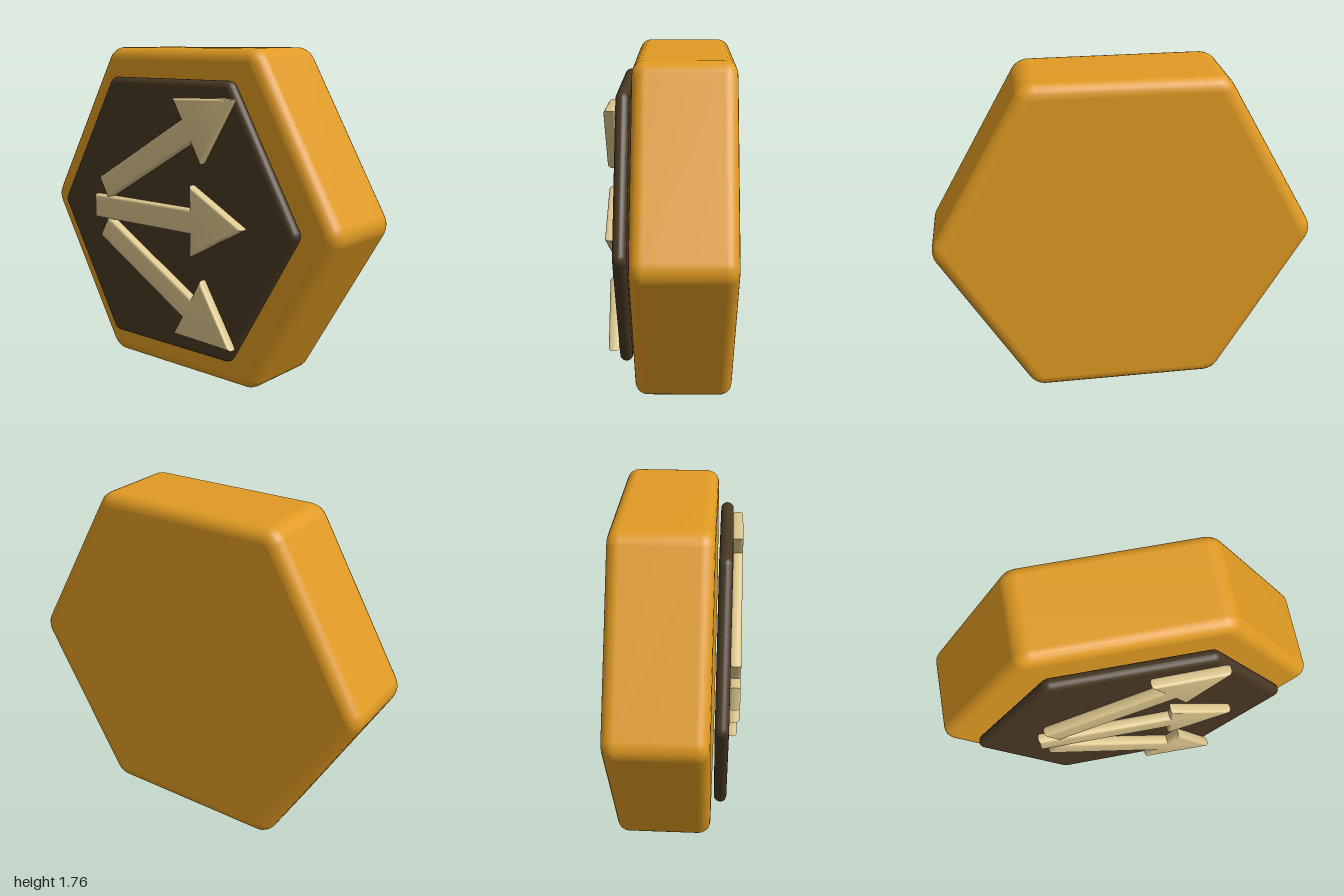
import * as THREE from 'three';
import { mergeVertices, toCreasedNormals } from 'three/addons/utils/BufferGeometryUtils.js';

const CENTER_Y = 0.882;

const gold = new THREE.MeshStandardMaterial({ color: 0xe09a22 });
gold.name = 'gold';
const darkBrown = new THREE.MeshStandardMaterial({ color: 0x483823 });
darkBrown.name = 'dark brown';
const sand = new THREE.MeshStandardMaterial({ color: 0xdcc68d });
sand.name = 'sand';

// Hexagon with flat top and bottom, its corners rounded by radius r
function hexShape(apothem, r) {
  const points = [];
  const inner = (apothem - r) / Math.cos(Math.PI / 6);
  const steps = 6;
  for (let i = 0; i < 6; i++) {
    const mid = (i * Math.PI) / 3;
    for (let j = 0; j <= steps; j++) {
      const a = mid + (j / steps - 0.5) * (Math.PI / 3);
      points.push(new THREE.Vector2(
        inner * Math.cos(mid) + r * Math.cos(a),
        inner * Math.sin(mid) + r * Math.sin(a)
      ));
    }
  }
  return new THREE.Shape(points);
}

// Extrude between two depths with a rounded edge that stays inside the outline
function roundedExtrude(shape, zBack, zFront, edge, depthEdge = edge) {
  const geometry = new THREE.ExtrudeGeometry(shape, {
    depth: zFront - zBack - 2 * depthEdge,
    bevelEnabled: true,
    bevelSize: edge,
    bevelOffset: -edge,
    bevelThickness: depthEdge,
    bevelSegments: 5,
  });
  geometry.translate(0, 0, zBack + depthEdge);
  return geometry;
}

// Area-weighted smooth normals: flat faces stay flat, edges blend softly
function smooth(geometry) {
  geometry.deleteAttribute('uv');
  geometry.deleteAttribute('normal');
  const merged = mergeVertices(geometry, 1e-5);
  merged.computeVertexNormals();
  return merged;
}

// Arrow pointing along +x, starting at its tail
function arrowShape() {
  return new THREE.Shape([
    [0, -0.066], [0.71, -0.066], [0.71, -0.187], [1.055, 0],
    [0.71, 0.187], [0.71, 0.066], [0, 0.066],
  ].map(([x, y]) => new THREE.Vector2(x, y)));
}

export function createModel() {
  const model = new THREE.Group();
  model.name = 'hexagonalArrowBadge';

  const add = (name, geometry, material, x = 0, y = CENTER_Y, angle = 0) => {
    const mesh = new THREE.Mesh(geometry, material);
    mesh.name = name;
    mesh.position.set(x, y, 0);
    mesh.rotation.z = angle;
    model.add(mesh);
  };

  // Thick body and the dark plate floating in front of it
  add('body', smooth(roundedExtrude(hexShape(0.882, 0.105), -0.322, 0.186, 0.065)), gold);
  add('facePlate', smooth(roundedExtrude(hexShape(0.723, 0.05), 0.202, 0.27, 0.033)), darkBrown);

  // Three arrows fanning out to the right
  const arrow = toCreasedNormals(roundedExtrude(arrowShape(), 0.268, 0.325, 0.016, 0.022), 0.6);
  add('middleArrow', arrow, sand, -0.51, 0.887);
  add('upperArrow', arrow, sand, -0.438, 0.995, Math.PI / 6);
  add('lowerArrow', arrow, sand, -0.438, 0.779, -Math.PI / 6);

  return model;
}
